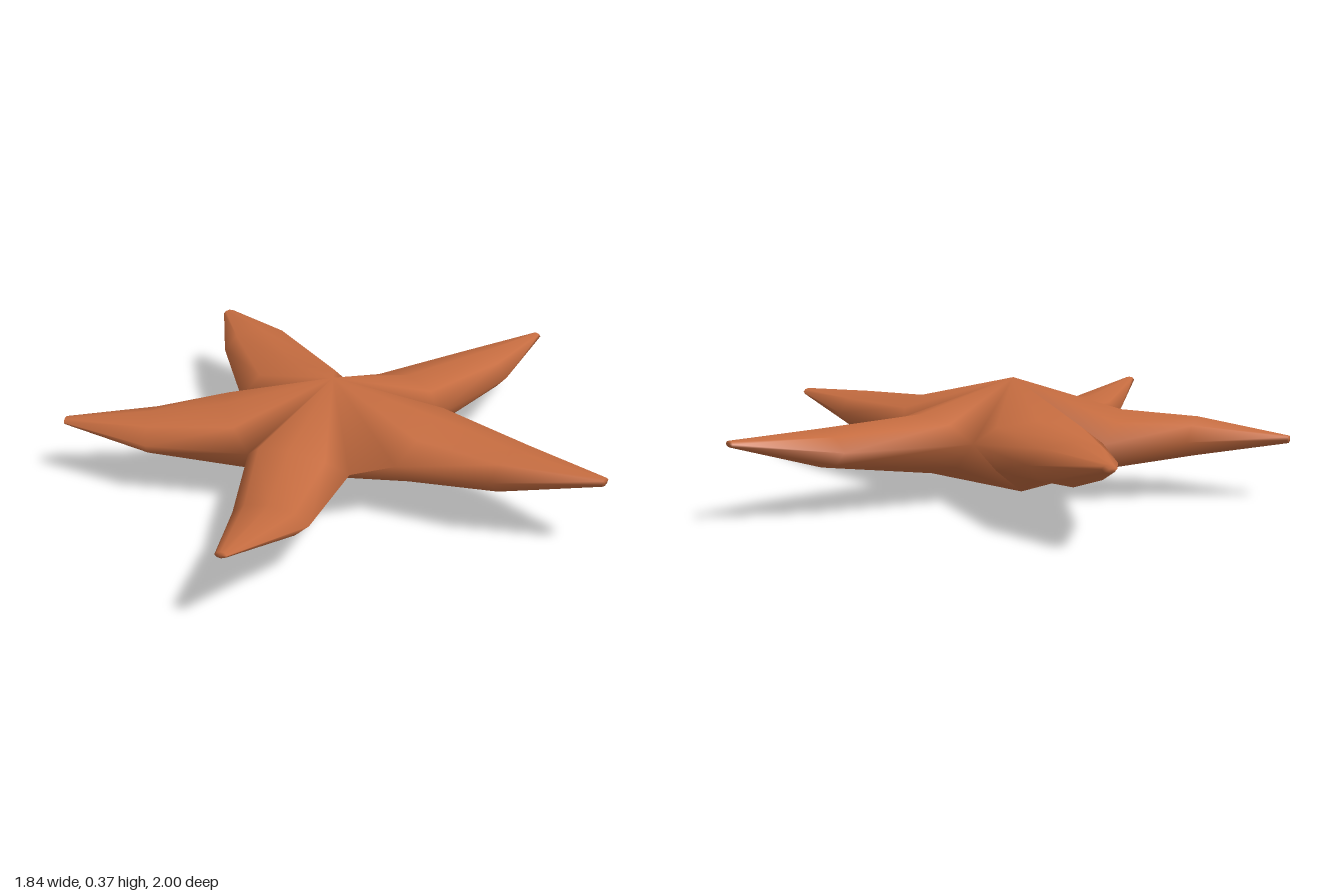
import * as THREE from 'three';
import { mergeVertices } from 'three/addons/utils/BufferGeometryUtils.js';

// Each arm has a root, a middle and a tip section: [ax, az, bx, bz, top, bottom, edge height, ridge push]
// a and b are the two side edges, seen from above.
const ARMS = [
  [[0.19, -0.26, 0.29, 0.15, 0.285, 0.085, 0.195, 0.06],
    [0.60, -0.16, 0.60, 0.11, 0.268, 0.142, 0.205, 0.01], [0.915, -0.045, 0.915, 0.0, 0.252, 0.228, 0.24, 0]],
  [[0.20, 0.27, -0.15, 0.32, 0.26, 0.08, 0.19, 0.06],
    [0.28, 0.60, 0.04, 0.65, 0.224, 0.125, 0.175, 0.01], [0.28, 0.985, 0.245, 0.997, 0.256, 0.236, 0.246, 0]],
  [[-0.15, 0.32, -0.44, -0.03, 0.27, 0.08, 0.19, 0.06],
    [-0.465, 0.445, -0.58, 0.21, 0.25, 0.125, 0.185, 0.01], [-0.795, 0.46, -0.81, 0.42, 0.204, 0.18, 0.192, 0]],
  [[-0.44, -0.03, -0.16, -0.31, 0.275, 0.085, 0.195, 0.06],
    [-0.74, -0.33, -0.58, -0.535, 0.27, 0.14, 0.205, 0.01], [-0.92, -0.56, -0.895, -0.595, 0.25, 0.226, 0.238, 0]],
  [[-0.16, -0.31, 0.19, -0.26, 0.275, 0.085, 0.195, 0.06],
    [-0.02, -0.71, 0.22, -0.67, 0.26, 0.142, 0.2, 0.01], [0.14, -0.998, 0.175, -0.995, 0.252, 0.232, 0.242, 0]],
];

// Eight points round a section: edge a, over the ridge, edge b, back underneath
const LATERAL = [-1, -0.65, 0, 0.65, 1, 0.65, 0, -0.65];
const HEIGHT = [0, 0.72, 1, 0.72, 0, -0.72, -1, -0.72];

function section([ax, az, bx, bz, top, bottom, edge, push]) {
  const a = new THREE.Vector3(ax, edge, az), b = new THREE.Vector3(bx, edge, bz);
  const out = new THREE.Vector3(bz - az, 0, ax - bx).normalize();
  return LATERAL.map((l, j) => {
    const h = HEIGHT[j];
    const p = a.clone().lerp(b, (l + 1) / 2);
    p.y += h > 0 ? h * (top - edge) : -h * (bottom - edge);
    return p.addScaledVector(out, push * (h > 0 ? h : -h * 0.4));
  });
}

function starGeometry() {
  const positions = [];
  const tri = (...points) => points.forEach((p) => positions.push(p.x, p.y, p.z));
  const apex = new THREE.Vector3(-0.045, 0.365, 0);
  const base = new THREE.Vector3(-0.09, 0, -0.01);
  const arms = ARMS.map((arm) => arm.map(section));

  arms.forEach((rings, i) => {
    const [root, , tip] = rings;
    const tipCentre = tip[0].clone().lerp(tip[4], 0.5);
    for (let j = 0; j < 8; j++) {
      const k = (j + 1) % 8;
      // central disc
      tri(j < 4 ? apex : base, root[k], root[j]);
      // arm skin
      for (let s = 0; s < 2; s++) {
        const p = rings[s], q = rings[s + 1];
        tri(p[j], p[k], q[j]);
        tri(p[k], q[k], q[j]);
      }
      // blunt tip
      tri(tipCentre, tip[j], tip[k]);
    }
    // webbing where neighbouring arms do not meet at one point
    const next = arms[(i + 1) % arms.length][0][0];
    if (next.distanceTo(root[4]) > 0.02) {
      tri(apex, next, root[4]);
      tri(base, root[4], next);
    }
  });

  const geometry = new THREE.BufferGeometry();
  geometry.setAttribute('position', new THREE.Float32BufferAttribute(positions, 3));
  const welded = mergeVertices(geometry, 1e-4);
  welded.computeVertexNormals();
  return welded;
}

export function createModel() {
  const group = new THREE.Group();
  group.name = 'starfish';
  const skin = new THREE.MeshStandardMaterial({ color: 0xc56c40 });
  skin.name = 'orange skin';
  const body = new THREE.Mesh(starGeometry(), skin);
  body.name = 'bodyAndArms';
  group.add(body);
  return group;
}
